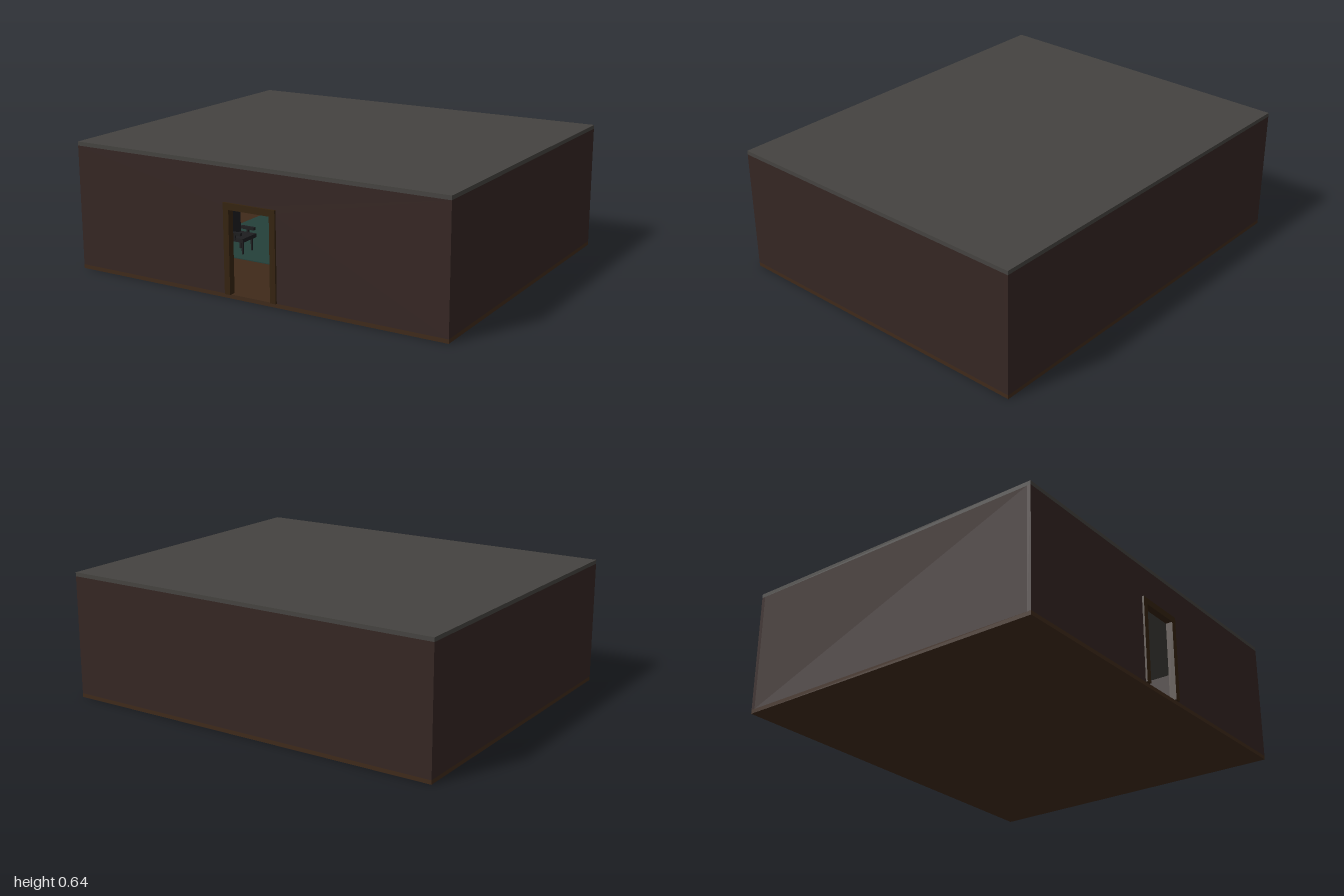
import * as THREE from 'three';

const mat = (color) => new THREE.MeshStandardMaterial({ color });
const brick = mat(0x352623), slab = mat(0x454340), wood = mat(0x3f2a1a), trim = mat(0x35230f);
const teal = mat(0x24403a), dark = mat(0x1d1d1f), pale = mat(0xcccccc);

const W = 2, BACK = -0.83, FRONT = 0.82, FLOOR = 0.02, CEIL = 0.62, T = 0.02;
const MID = (BACK + FRONT) / 2, DEPTH = FRONT - BACK;

// Box given by its lower and upper corners
function block(parent, name, material, [x0, y0, z0], [x1, y1, z1]) {
  const mesh = new THREE.Mesh(new THREE.BoxGeometry(x1 - x0, y1 - y0, z1 - z0), material);
  mesh.position.set((x0 + x1) / 2, (y0 + y1) / 2, (z0 + z1) / 2);
  mesh.name = name;
  parent.add(mesh);
  return mesh;
}

// Chair facing -z, standing on the floor
function makeChair(name, x, z, turn) {
  const chair = new THREE.Group();
  chair.name = name;
  for (const sx of [-1, 1]) {
    for (const sz of [-1, 1]) {
      block(chair, 'chairLeg', dark, [sx * 0.04 - 0.004, 0, sz * 0.035 - 0.004], [sx * 0.04 + 0.004, 0.08, sz * 0.035 + 0.004]);
    }
    block(chair, 'armRest', dark, [sx * 0.06 - 0.008, 0.105, -0.04], [sx * 0.06 + 0.008, 0.12, 0.04]);
    block(chair, 'armPost', dark, [sx * 0.058 - 0.005, 0.08, -0.005], [sx * 0.058 + 0.005, 0.105, 0.005]);
  }
  block(chair, 'seat', dark, [-0.06, 0.07, -0.05], [0.06, 0.09, 0.05]);
  block(chair, 'chairBack', dark, [-0.052, 0.08, 0.04], [0.052, 0.24, 0.055]);
  chair.position.set(x, FLOOR, z);
  chair.rotation.y = turn;
  return chair;
}

export function createModel() {
  const model = new THREE.Group();
  model.name = 'room';

  // Floor slab and flat roof
  block(model, 'floor', wood, [-1, 0, BACK], [1, FLOOR, FRONT]);
  block(model, 'roof', slab, [-1, CEIL, BACK], [1, CEIL + 0.02, FRONT]);

  // Back and side walls
  block(model, 'backWall', brick, [-1, FLOOR, BACK], [1, CEIL, BACK + T]);
  for (const s of [-1, 1]) {
    const side = new THREE.Mesh(new THREE.BoxGeometry(T, CEIL - FLOOR, DEPTH - 2 * T), brick);
    side.position.set(s * (W / 2 - T / 2), (CEIL + FLOOR) / 2, MID);
    side.name = s > 0 ? 'leftWall' : 'rightWall';
    model.add(side);
  }

  // Front wall cut away around the doorway
  const outline = new THREE.Shape();
  [[-1, FLOOR], [-0.12, FLOOR], [-0.12, 0.435], [0.12, 0.435], [0.12, FLOOR], [1, FLOOR], [1, CEIL], [-1, CEIL]]
    .forEach(([x, y], i) => (i ? outline.lineTo(x, y) : outline.moveTo(x, y)));
  const frontWall = new THREE.Mesh(new THREE.ExtrudeGeometry(outline, { depth: T, bevelEnabled: false }), brick);
  frontWall.position.z = FRONT - T;
  frontWall.name = 'frontWall';
  model.add(frontWall);

  // Door frame
  const frame = new THREE.Group();
  frame.name = 'doorFrame';
  const z0 = FRONT - T - 0.005, z1 = 0.83;
  block(frame, 'doorJamb', trim, [-0.14, FLOOR, z0], [-0.11, 0.425, z1]);
  block(frame, 'doorJamb', trim, [0.11, FLOOR, z0], [0.14, 0.425, z1]);
  block(frame, 'doorHead', trim, [-0.14, 0.425, z0], [0.14, 0.457, z1]);
  model.add(frame);

  // Rug
  block(model, 'rug', teal, [-0.75, FLOOR, -0.36], [0.75, FLOOR + 0.004, 0.36]);

  // Desk with a panelled front
  const desk = new THREE.Group();
  desk.name = 'desk';
  block(desk, 'deskTop', trim, [-0.3, 0.148, -0.58], [0.3, 0.162, -0.38]);
  block(desk, 'deskBody', wood, [-0.28, FLOOR, -0.56], [0.28, 0.148, -0.41]);
  for (const x of [-0.25, -0.15, -0.05, 0.05, 0.15, 0.25]) {
    block(desk, 'deskRib', trim, [x - 0.005, FLOOR, -0.41], [x + 0.005, 0.148, -0.403]);
  }
  model.add(desk);

  // Low cabinet and pale panel on the back wall
  block(model, 'cabinet', wood, [-0.4, FLOOR, BACK + T], [0.4, 0.228, -0.7]);
  block(model, 'wallPanel', pale, [-0.35, 0.228, BACK + T], [0.35, 0.55, BACK + T + 0.01]);

  // Chairs at the desk and on both sides of the rug
  model.add(makeChair('deskChair', 0, -0.3, 0));
  model.add(makeChair('rightChair', -0.45, 0.255, Math.PI / 2 * 3));
  model.add(makeChair('leftChair', 0.45, 0.255, Math.PI / 2));

  return model;
}
